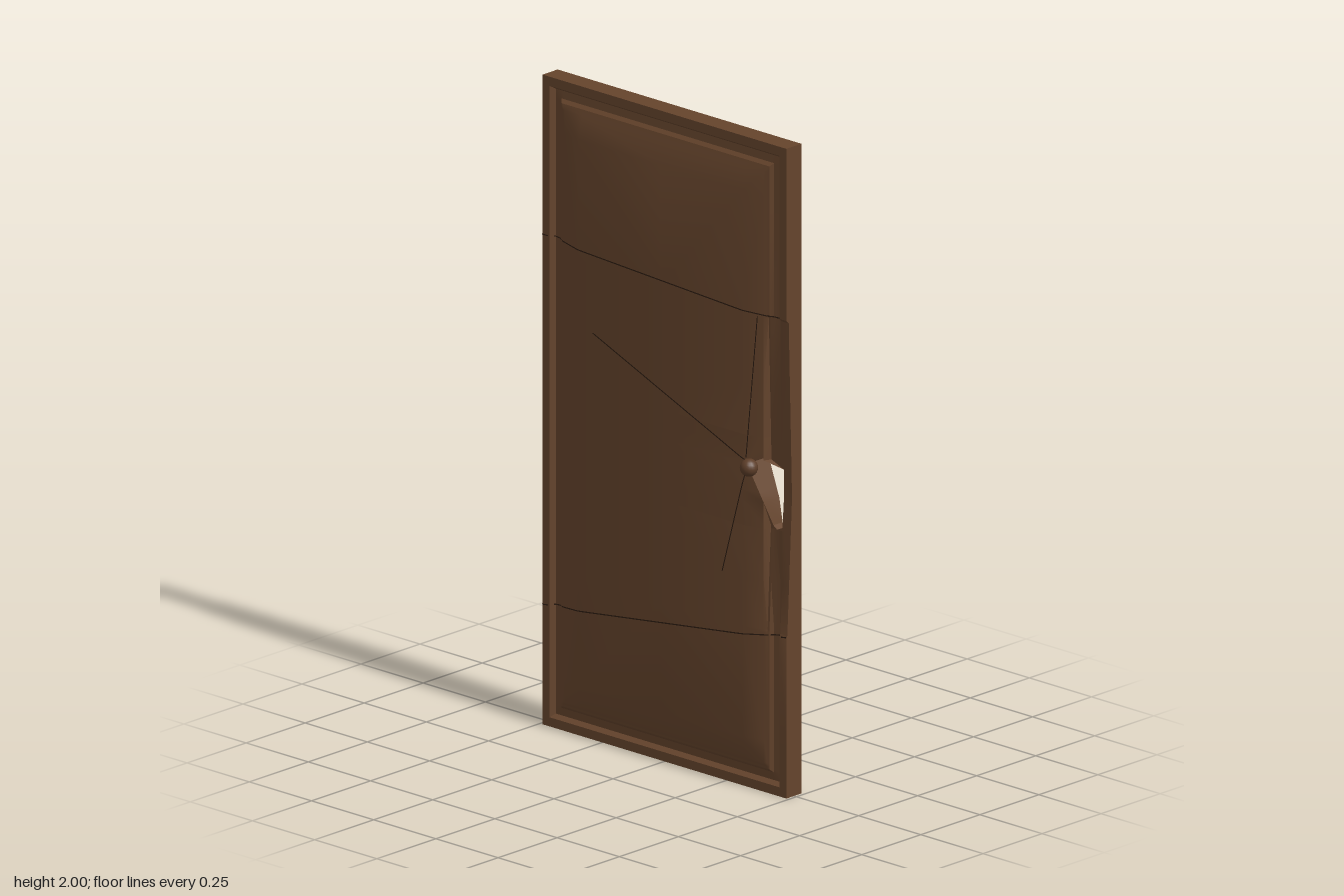
import * as THREE from 'three';
import { toCreasedNormals } from 'three/addons/utils/BufferGeometryUtils.js';

const HALF = 0.49, HEIGHT = 2;
// half thickness of the door by distance from its outer edge: frame, groove, raised panel
const PROFILE = [[0, 0.032], [0.028, 0.032], [0.038, 0.016], [0.062, 0.018], [0.072, 0.028],
  [0.08, 0.03], [0.09, 0.033], [0.16, 0.05], [0.49, 0.05]];

const sample = (table, t) => {
  if (t <= table[0][0]) return table[0][1];
  for (let i = 1; i < table.length; i++) {
    const [a, u] = table[i - 1], [b, v] = table[i];
    if (t <= b) return u + (v - u) * (t - a) / (b - a);
  }
  return table[table.length - 1][1];
};

// surface depth; the front of the latch edge is splintered away
function depth(x, y, side) {
  const d = Math.min(HALF - Math.abs(x), y, HEIGHT - y);
  const z = sample(PROFILE, Math.max(0, d));
  if (side > 0 && x > 0.405 && y > 0.495 && y < 1.465) {
    return Math.min(z, sample([[0.495, 0.028], [0.92, 0.008], [1.465, 0.022]], y));
  }
  return side * z;
}

const insets = PROFILE.map(p => p[0]);
const xBreaks = [...insets.map(d => d - HALF), ...insets.slice(0, -1).reverse().map(d => HALF - d)];

// closed slab skinned through cross-sections at the given heights
function slab(ys, left, right, capBottom, capTop) {
  const n = xBreaks.length, out = [];
  const rows = ys.map(y => {
    const xs = xBreaks.map(x => Math.min(Math.max(x, left(y)), right(y)));
    return [...xs.map(x => new THREE.Vector3(x, y, depth(x, y, 1))),
      ...xs.reverse().map(x => new THREE.Vector3(x, y, depth(x, y, -1)))];
  });
  const tri = (a, b, c) => {
    const area = b.clone().sub(a).cross(c.clone().sub(a)).length();
    if (area > 1e-9) for (const p of [a, b, c]) out.push(p.x, p.y, p.z);
  };
  for (let i = 0; i + 1 < rows.length; i++) {
    for (let j = 0; j < 2 * n; j++) {
      const k = (j + 1) % (2 * n);
      const a = rows[i][j], b = rows[i][k], c = rows[i + 1][k], d = rows[i + 1][j];
      // diagonals follow the mitred corners
      const mitre = ((a.x + b.x) * (a.y + c.y - HEIGHT) > 0) === (j < n);
      if (mitre) { tri(a, b, c); tri(a, c, d); } else { tri(a, b, d); tri(b, c, d); }
    }
  }
  const cap = (row, up) => {
    for (let j = 0; j + 1 < n; j++) {
      const a = row[j], b = row[j + 1], c = row[2 * n - 2 - j], d = row[2 * n - 1 - j];
      if (up) { tri(a, b, c); tri(a, c, d); } else { tri(a, c, b); tri(a, d, c); }
    }
  };
  if (capBottom) cap(rows[0], false);
  if (capTop) cap(rows[rows.length - 1], true);
  const g = new THREE.BufferGeometry();
  g.setAttribute('position', new THREE.Float32BufferAttribute(out, 3));
  return toCreasedNormals(g, 0.5);
}

// thin ribbon lying on the surface
function crackGeometry([x0, y0, x1, y1], side) {
  const steps = 50, w = 0.0018, pos = [], index = [];
  const len = Math.hypot(x1 - x0, y1 - y0);
  const nx = -(y1 - y0) / len * w, ny = (x1 - x0) / len * w;
  for (let i = 0; i <= steps; i++) {
    const x = x0 + (x1 - x0) * i / steps, y = y0 + (y1 - y0) * i / steps;
    const z = depth(x, y, side) + side * 0.0012;
    pos.push(x - nx, y - ny, z, x + nx, y + ny, z);
    const k = 2 * i;
    if (i < steps) {
      if (side > 0) index.push(k, k + 2, k + 1, k + 1, k + 2, k + 3);
      else index.push(k, k + 1, k + 2, k + 1, k + 3, k + 2);
    }
  }
  const g = new THREE.BufferGeometry();
  g.setAttribute('position', new THREE.Float32BufferAttribute(pos, 3));
  g.setIndex(index);
  g.computeVertexNormals();
  return g;
}

export function createModel() {
  const group = new THREE.Group();
  const wood = new THREE.MeshStandardMaterial({ name: 'brown wood', color: 0x65442c });
  const dark = new THREE.MeshStandardMaterial({ name: 'dark crack', color: 0x2c1c12 });
  const knobWood = new THREE.MeshStandardMaterial({ name: 'knob brown', color: 0x5c3d28 });
  const add = (name, geometry, material) => {
    const mesh = new THREE.Mesh(geometry, material);
    mesh.name = name;
    group.add(mesh);
    return mesh;
  };

  // door leaf, split around the ragged hole beside the knobs
  const edge = insets.slice(0, -1);
  const lower = [...edge, 0.49, 0.5, 0.65, 0.81];
  const middle = [0.81, 0.82, 0.89, 0.92, 1, 1.02, 1.09];
  const upper = [1.09, 1.25, 1.46, 1.47, ...edge.map(d => HEIGHT - d).reverse()];
  const holeLeft = [[0.81, 0.435], [0.82, 0.42], [0.89, 0.4], [1, 0.345], [1.02, 0.355], [1.09, 0.387]];
  const holeRight = [[0.81, 0.435], [0.82, 0.456], [1, 0.46], [1.02, 0.4], [1.09, 0.387]];
  const min = () => -HALF, max = () => HALF;
  add('lowerDoor', slab(lower, min, max, true, false), wood);
  add('middleDoor', slab(middle, min, y => sample(holeLeft, y), false, false), wood);
  add('latchEdge', slab(middle, y => sample(holeRight, y), max, false, false), wood);
  add('upperDoor', slab(upper, min, max, false, true), wood);

  // cracks: two break lines on both faces, then splits running out from the hole
  const breaks = [[-0.49, 0.37, 0.49, 0.495], [-0.49, 1.51, 0.49, 1.463]];
  const front = [...breaks, [-0.27, 1.26, 0.345, 1.01], [0.25, 0.65, 0.343, 0.98], [0.343, 1.02, 0.38, 1.46]];
  const back = [...breaks, [-0.09, 1.49, 0.345, 1.01], [-0.46, 0.62, 0.343, 0.99], [-0.26, 0.4, 0.343, 0.99]];
  front.forEach(c => add('frontCrack', crackGeometry(c, 1), dark));
  back.forEach(c => add('backCrack', crackGeometry(c, -1), dark));

  // knobs
  for (const [name, z] of [['frontKnob', 0.066], ['backKnob', -0.071]]) {
    add(name, new THREE.SphereGeometry(0.027, 16, 12), knobWood).position.set(0.372, 1, z);
  }
  return group;
}
